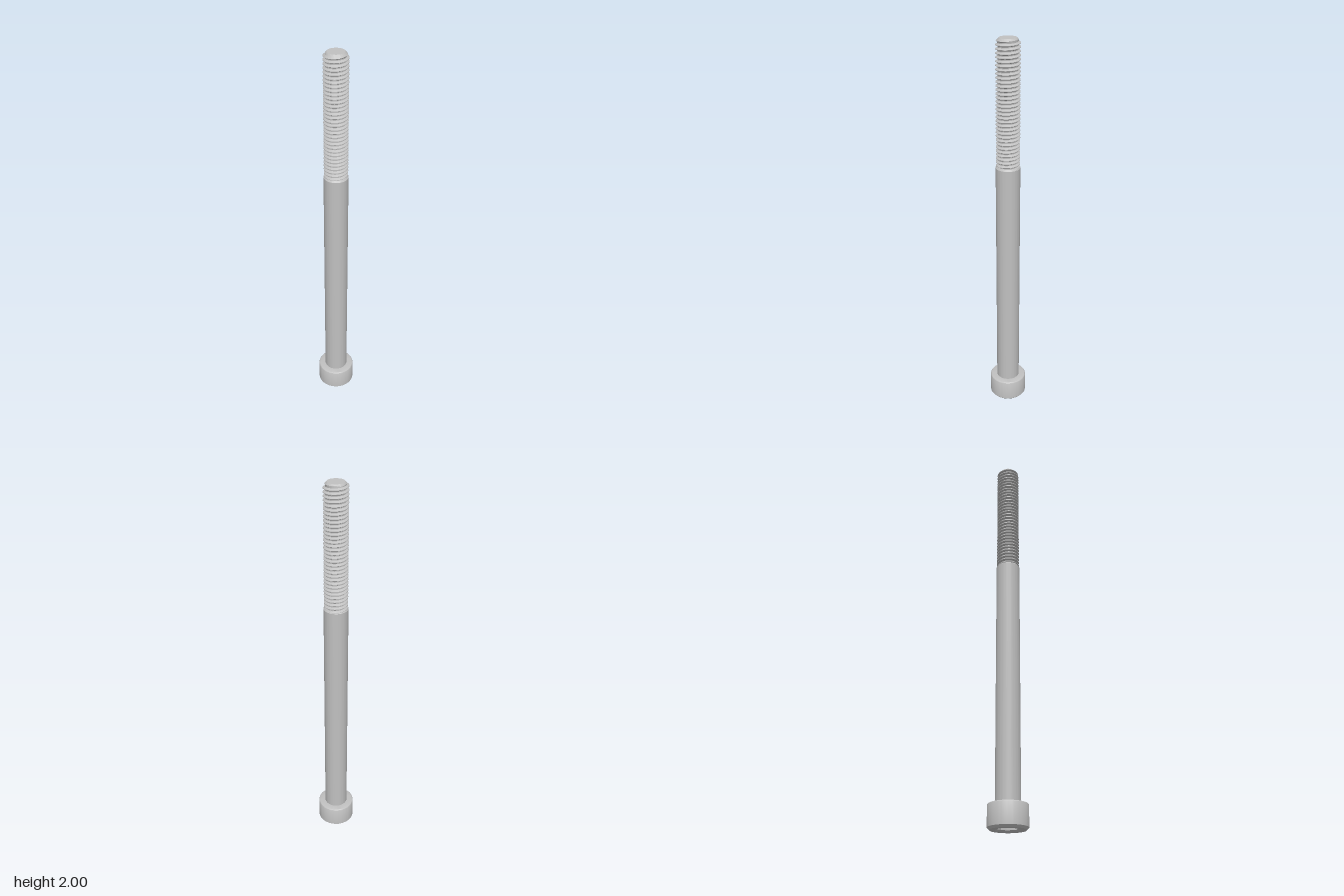
import * as THREE from 'three';
import { toCreasedNormals } from 'three/addons/utils/BufferGeometryUtils.js';

const SEG = 72;
const HEAD_R = 0.0975, HEAD_H = 0.12, SHANK_R = 0.061, SHANK_TOP = 1.38;
const PITCH = 0.0188, CREST_R = 0.059, ROOT_R = 0.0487, TIP_R = 0.042;
const SOCKET_R = 0.052, SOCKET_DEPTH = 0.062, SOCKET_RIM = 0.06;

// Closed skin through rows of points; at(row, angle) gives [radius, y]
function skin(rows, at, inward = false) {
  const pos = [], idx = [];
  for (let j = 0; j < rows; j++) {
    for (let i = 0; i <= SEG; i++) {
      const a = (i / SEG) * Math.PI * 2;
      const [r, y] = at(j, a);
      pos.push(r * Math.sin(a), y, r * Math.cos(a));
      if (j === rows - 1 || i === SEG) continue;
      const p = j * (SEG + 1) + i, q = p + SEG + 1;
      if (inward) idx.push(p, q, p + 1, p + 1, q, q + 1);
      else idx.push(p, p + 1, q, p + 1, q + 1, q);
    }
  }
  const geo = new THREE.BufferGeometry();
  geo.setAttribute('position', new THREE.Float32BufferAttribute(pos, 3));
  geo.setIndex(idx);
  return toCreasedNormals(geo, 0.5);
}

function lathe(points) {
  const profile = points.map(([r, y]) => new THREE.Vector2(r, y));
  return toCreasedNormals(new THREE.LatheGeometry(profile, SEG), 0.5);
}

export function createModel() {
  const group = new THREE.Group();
  const steel = new THREE.MeshStandardMaterial({ color: 0xc0c0c0 });
  steel.name = 'steel';
  const add = (name, geo) => {
    const mesh = new THREE.Mesh(geo, steel);
    mesh.name = name;
    group.add(mesh);
    return mesh;
  };

  // Head: chamfered below, rounded above
  const headProfile = [[SOCKET_RIM, 0], [0.087, 0], [HEAD_R, 0.011]];
  for (let i = 0; i <= 5; i++) {
    const a = (i / 5) * Math.PI / 2;
    headProfile.push([HEAD_R - 0.009 + 0.009 * Math.cos(a), HEAD_H - 0.009 + 0.009 * Math.sin(a)]);
  }
  headProfile.push([SHANK_R - 0.004, HEAD_H]);
  add('head', lathe(headProfile));

  // Hex socket: countersunk rim, six walls and a floor
  const hexRadius = (a) => {
    const sector = Math.PI / 3;
    const t = (((a - Math.PI / 2) % sector) + sector) % sector;
    return SOCKET_R * Math.cos(sector / 2) / Math.cos(t - sector / 2);
  };
  const socketY = [0, 0.007, SOCKET_DEPTH];
  add('socketWalls', skin(3, (j, a) => [j === 0 ? SOCKET_RIM : hexRadius(a), socketY[j]], true));
  const floor = add('socketFloor', new THREE.CircleGeometry(SOCKET_R, 6));
  floor.rotation.x = Math.PI / 2;
  floor.position.y = SOCKET_DEPTH;

  // Plain shank with a chamfered shoulder
  add('shank', lathe([
    [SHANK_R, HEAD_H - 0.002], [SHANK_R, SHANK_TOP - 0.008],
    [0.054, SHANK_TOP], [0.044, SHANK_TOP],
  ]));

  // Helical thread: root flat, flank, crest flat, flank, trimmed by the tip chamfer
  const start = SHANK_TOP - 0.006;
  const turns = Math.ceil((2 - start) / PITCH) + 2;
  const steps = [[0, ROOT_R], [0.25, ROOT_R], [0.56, CREST_R], [0.69, CREST_R]];
  add('thread', skin(turns * 4, (j, a) => {
    const [part, radius] = steps[j % 4];
    const rise = Math.floor(j / 4) - 1 + part + a / (Math.PI * 2);
    const y = THREE.MathUtils.clamp(start + rise * PITCH, start, 2);
    return [Math.min(radius, TIP_R + (2 - y)), y];
  }));

  // Flat end of the thread
  const tip = add('tip', new THREE.CircleGeometry(TIP_R, SEG));
  tip.rotation.x = -Math.PI / 2;
  tip.position.y = 2;

  return group;
}
